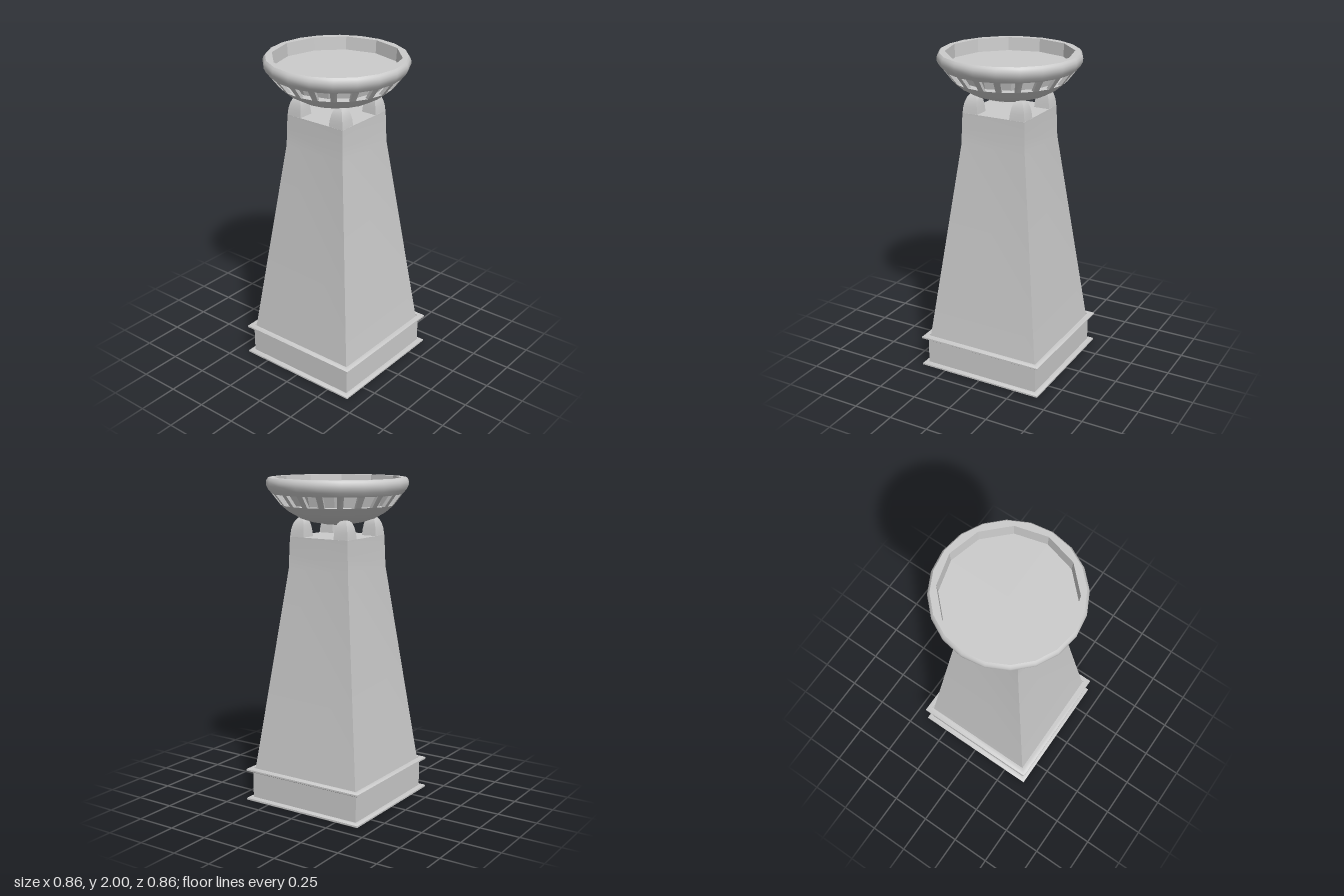
import * as THREE from 'three';
import { toCreasedNormals } from 'three/addons/utils/BufferGeometryUtils.js';

const material = new THREE.MeshStandardMaterial({ color: 0xcccccc, side: THREE.DoubleSide });
const SIDES = 20; // facets of the bowl

function part(name, geometry, crease = 0.1) {
  const mesh = new THREE.Mesh(toCreasedNormals(geometry, crease), material);
  mesh.name = name;
  return mesh;
}

// Profile of [radius, y] points turned around the y axis
function turned(points, sides, start = 0) {
  return new THREE.LatheGeometry(points.map(([r, y]) => new THREE.Vector2(r, y)), sides, start);
}

function lathe(points, sides, phiStart = 0) {
  return new THREE.LatheGeometry(points.map(([r, y]) => new THREE.Vector2(r, y)), sides, phiStart);
}

// Profile of [half width, y] points swept around a square
const square = (points) => lathe(points.map(([h, y]) => [h * Math.SQRT2, y]), 4, Math.PI / 4);

// Moves every vertex of a geometry by a rule
function reshape(geometry, rule) {
  const p = geometry.attributes.position;
  for (let i = 0; i < p.count; i++) p.setXYZ(i, ...rule(p.getX(i), p.getY(i), p.getZ(i)));
  return geometry;
}

// Rounded strip running around the plinth
const moulding = (y) => square([
  [0.378, y], [0.403, y], [0.41, y + 0.005], [0.41, y + 0.015], [0.403, y + 0.02], [0.378, y + 0.02], [0.378, y],
]);

// Corner horn: square sections [y, inner edge, outer edge] stacked upward
function hornGeometry() {
  const sections = [
    [1.64, 0.105, 0.206], [1.69, 0.11, 0.201], [1.72, 0.115, 0.194], [1.745, 0.122, 0.184], [1.762, 0.14, 0.17],
  ];
  const n = sections.length - 1;
  return reshape(new THREE.BoxGeometry(1, 1, 1, 1, n, 1), (x, y, z) => {
    const [h, inner, outer] = sections[Math.round((y + 0.5) * n)];
    return [x > 0 ? outer : inner, h, z > 0 ? outer : inner];
  });
}

// Post between two bowl windows, bent around a corner of the bowl
function postGeometry() {
  const step = (2 * Math.PI) / SIDES;
  return reshape(new THREE.BoxGeometry(1, 1, 1, 2, 1, 1), (x, y, z) => {
    const r = (y > 0 ? 0.395 : 0.343) - (z > 0 ? 0 : 0.025);
    const t = Math.abs(x) * 0.32;
    const side = Math.sign(x) * r * t * Math.sin(step);
    return [side, y > 0 ? 1.905 : 1.838, r * (1 - t + t * Math.cos(step))];
  });
}

// Flat rim: round outside, twelve-sided opening
function rimGeometry() {
  const ring = (radius, sides) => Array.from({ length: sides }, (_, i) => {
    const a = (i / sides) * 2 * Math.PI;
    return new THREE.Vector2(radius * Math.sin(a), radius * Math.cos(a));
  });
  const shape = new THREE.Shape(ring(0.413, SIDES));
  shape.holes.push(new THREE.Path(ring(0.38, 12)));
  return new THREE.ShapeGeometry(shape).rotateX(-Math.PI / 2).translate(0, 2, 0);
}

export function createModel() {
  const model = new THREE.Group();
  model.name = 'pedestalBowl';

  // Hollow base, open underneath
  const base = new THREE.Group();
  base.name = 'base';
  base.add(
    part('plinthWall', square([[0.38, 0.01], [0.38, 0.2]])),
    part('plinthTop', square([[0.38, 0.2], [0.365, 0.2]])),
    part('lowerMoulding', moulding(0), 0.9),
    part('upperMoulding', moulding(0.19), 0.9),
  );
  model.add(base);

  // Tapering shaft with a flat top
  model.add(part('shaft', square([
    [0.37, 0.2], [0.212, 1.46], [0.209, 1.56], [0.206, 1.64], [0.206, 1.65], [0, 1.65],
  ])));

  // Four horns carrying the bowl
  const horns = new THREE.Group();
  horns.name = 'horns';
  for (let i = 0; i < 4; i++) {
    const horn = part('horn', hornGeometry(), 0.6);
    horn.rotation.y = (i * Math.PI) / 2;
    horns.add(horn);
  }
  model.add(horns);

  // Bowl: lower shell, ring of windows, upper shell
  const bowl = new THREE.Group();
  bowl.name = 'bowl';
  bowl.add(
    part('lowerShell', lathe([
      [0, 1.72], [0.08, 1.723], [0.16, 1.737], [0.23, 1.76], [0.295, 1.797], [0.343, 1.838], [0.28, 1.838],
    ], SIDES), 0.6),
    part('upperShell', lathe([
      [0.35, 1.905], [0.395, 1.905], [0.416, 1.93], [0.428, 1.955], [0.428, 1.975], [0.422, 1.99], [0.413, 2],
    ], SIDES), 0.6),
    part('rim', rimGeometry()),
    part('innerWall', lathe([[0.375, 1.92], [0.38, 2]], 12)),
    part('bowlFloor', lathe([[0.375, 1.92], [0, 1.92]], 12)),
    part('windowCore', lathe([[0.29, 1.83], [0.315, 1.91], [0.37, 1.915]], 12)),
  );
  for (let i = 0; i < SIDES; i++) {
    const post = part('windowPost', postGeometry(), 0.6);
    post.rotation.y = (i / SIDES) * 2 * Math.PI;
    bowl.add(post);
  }
  model.add(bowl);

  return model;
}
